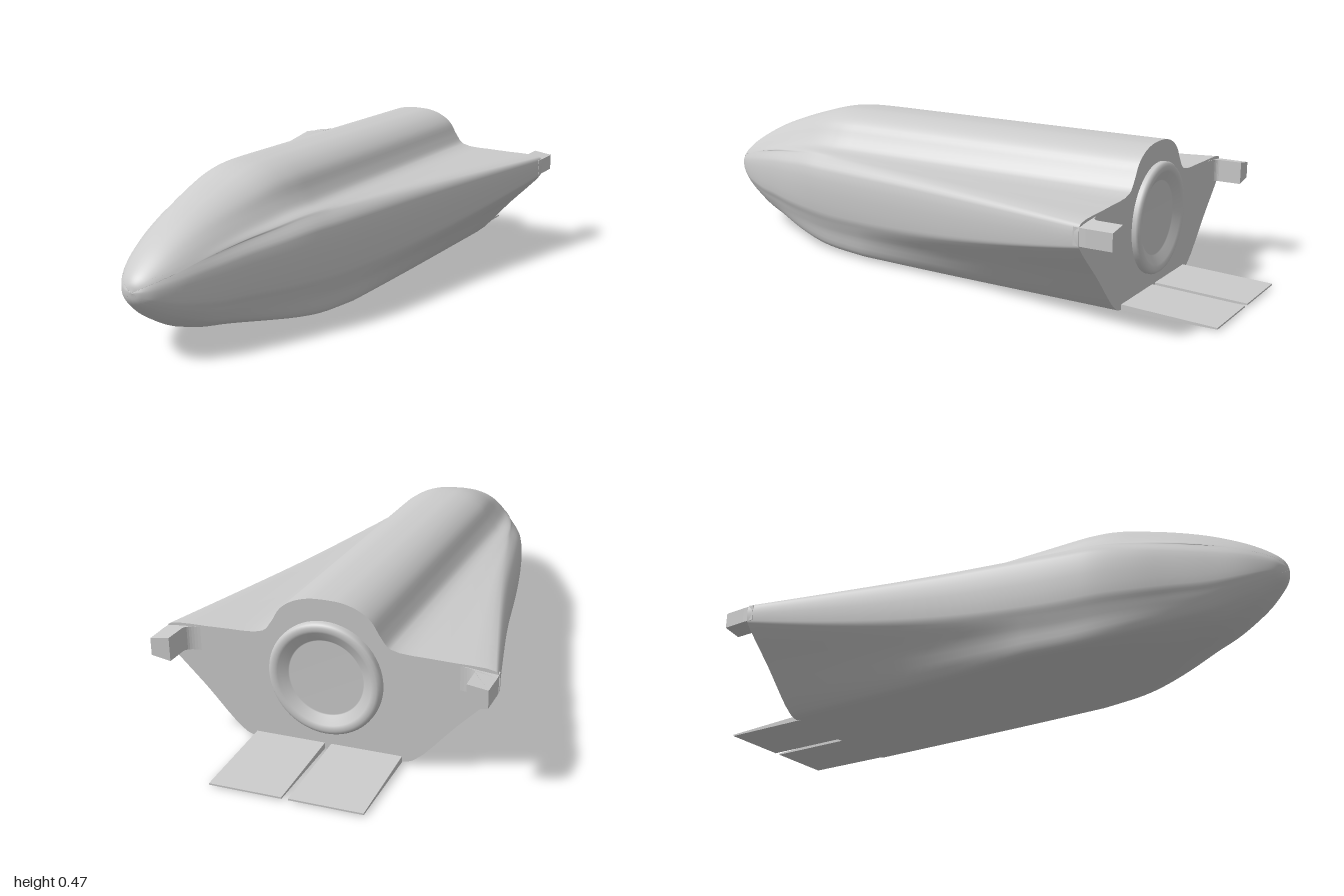
import * as THREE from 'three';

const grey = new THREE.MeshStandardMaterial({ color: 0xcccccc });
const BACK = -0.7;

// Stations along the hull: z, half width, top, bottom
const stations = [
  [1, 0, 0.21, 0.21], [0.992, 0.03, 0.237, 0.18], [0.965, 0.066, 0.266, 0.15],
  [0.9, 0.112, 0.312, 0.1], [0.8, 0.157, 0.365, 0.053], [0.7, 0.197, 0.405, 0.035],
  [0.6, 0.235, 0.437, 0.022], [0.5, 0.265, 0.464, 0.014], [0.4, 0.285, 0.474, 0.009],
  [0.2, 0.32, 0.475, 0.006], [0, 0.355, 0.475, 0.004], [-0.2, 0.396, 0.475, 0.003],
  [-0.45, 0.452, 0.475, 0.003], [BACK, 0.51, 0.475, 0.003],
];
const spline = (pts) => new THREE.CatmullRomCurve3(pts, false, 'catmullrom', 0.5);
const sizeCurve = spline(stations.map(([, w, t, b]) => new THREE.Vector3(w, t, b)));
const zCurve = spline(stations.map(([z]) => new THREE.Vector3(z, 0, 0)));

// Closed cross-section: an ellipse at the nose that turns into a winged body with a round spine
function section(z, w, top, bottom) {
  const aft = THREE.MathUtils.clamp((0.4 - z) / (0.4 - BACK), 0, 1);
  const winged = 1 - THREE.MathUtils.smoothstep(z, 0.35, 0.95);
  const s = Math.min(1, w / 0.285);
  const floor = Math.min(0.25, 0.8 * w);
  const low = 0.13 + 0.14 * aft ** 1.6;
  const high = 0.295 + 0.027 * aft;
  const soft = 0.035 - 0.025 * aft;
  const half = [
    [0, 0.003], [floor * 0.5, 0.003], [floor * 0.88, 0.004], [floor + 0.015 * s, 0.016],
    [THREE.MathUtils.lerp(floor, w, 0.55), 0.016 + (low - 0.016) * 0.52],
    [w - soft * 0.35, low - soft * 0.5], [w, low + soft * 0.5], [w, high], [w - soft, 0.334],
    [THREE.MathUtils.lerp(0.2 * s, w, 0.45), 0.342],
    [0.197 * s, 0.353], [0.168 * s, 0.385], [0.14 * s, 0.429], [0.1 * s, 0.457],
    [0.05 * s, 0.472], [0, 0.475],
  ].map(([x, y]) => {
    const a = Math.atan2((y - 0.22) / 0.236, x / Math.max(w, 0.001));
    const mid = (top + bottom) / 2;
    const wy = bottom + (y - 0.003) / 0.472 * (top - bottom);
    return new THREE.Vector3(
      THREE.MathUtils.lerp(w * Math.cos(a), x, winged),
      THREE.MathUtils.lerp(mid + (top - bottom) / 2 * Math.sin(a), wy, winged), z);
  });
  half[0].x = half[half.length - 1].x = 0;
  const right = new THREE.CatmullRomCurve3(half).getPoints((half.length - 1) * 4);
  const left = right.slice(1, -1).reverse().map((p) => new THREE.Vector3(-p.x, p.y, p.z));
  return [...right, ...left];
}

function hullGeometry() {
  const rows = (stations.length - 1) * 5;
  const position = [], index = [];
  let n = 0;
  for (let j = 0; j <= rows; j++) {
    const size = sizeCurve.getPoint(j / rows);
    const ring = section(zCurve.getPoint(j / rows).x, Math.max(0, size.x), size.y, size.z);
    n = ring.length;
    ring.forEach((p) => position.push(p.x, p.y, p.z));
  }
  for (let j = 0; j < rows; j++) {
    for (let i = 0; i < n; i++) {
      const a = j * n + i, b = j * n + (i + 1) % n;
      index.push(a, a + n, b + n, a, b + n, b);
    }
  }
  const g = new THREE.BufferGeometry();
  g.setAttribute('position', new THREE.Float32BufferAttribute(position, 3));
  g.setIndex(index);
  g.computeVertexNormals();
  return g;
}

export function createModel() {
  const model = new THREE.Group();
  const add = (name, geometry) => {
    const mesh = new THREE.Mesh(geometry, grey);
    mesh.name = name;
    model.add(mesh);
    return mesh;
  };

  add('hull', hullGeometry());

  // Flat rear wall closing the hull
  const [, w, top, bottom] = stations[stations.length - 1];
  const outline = section(BACK, w, top, bottom).map((p) => new THREE.Vector2(p.x, p.y));
  add('rearBulkhead', new THREE.ShapeGeometry(new THREE.Shape(outline)).rotateY(Math.PI).translate(0, 0, BACK));

  // Raised docking ring with a recessed centre plate
  const ringProfile = [
    [0.175, -0.005], [0.175, 0.012], [0.17, 0.019], [0.162, 0.022], [0.152, 0.022],
    [0.145, 0.019], [0.118, 0.004], [0.115, 0.002], [0, 0.002],
  ].map(([r, h]) => new THREE.Vector2(r, h)).reverse();
  const ring = new THREE.LatheGeometry(ringProfile, 64);
  const ringMesh = add('dockingRing', ring.rotateX(-Math.PI / 2).translate(0, 0.235, BACK));
  ringMesh.material = grey.clone();
  ringMesh.material.side = THREE.DoubleSide;

  for (const side of [1, -1]) {
    const label = side > 0 ? 'left' : 'right';

    // Wing tip pod with a filleted inner root, drawn in plan and extruded upwards
    const pod = new THREE.Shape();
    pod.moveTo(side * 0.508, 0.68);
    pod.lineTo(side * 0.51, 0.72);
    pod.lineTo(side * 0.508, 0.8);
    pod.lineTo(side * 0.447, 0.8);
    pod.lineTo(side * 0.447, 0.725);
    pod.quadraticCurveTo(side * 0.445, 0.703, side * 0.4, 0.7);
    pod.lineTo(side * 0.41, 0.68);
    const podGeometry = new THREE.ExtrudeGeometry(pod, { depth: 0.073, bevelEnabled: false, curveSegments: 8 });
    podGeometry.rotateX(-Math.PI / 2).translate(0, 0.261, 0);
    // chamfer the outer edges of the pod
    const p = podGeometry.attributes.position;
    for (let i = 0; i < p.count; i++) {
      if (Math.abs(p.getX(i)) > 0.5) p.setY(i, p.getY(i) > 0.3 ? 0.325 : 0.272);
    }
    podGeometry.computeVertexNormals();
    add(label + 'WingTipPod', podGeometry);

    // Tapered body flap
    const flap = new THREE.Shape([
      new THREE.Vector2(0.69, 0.003), new THREE.Vector2(1, 0.006),
      new THREE.Vector2(1, 0.011), new THREE.Vector2(0.69, 0.022),
    ]);
    const flapGeometry = new THREE.ExtrudeGeometry(flap, { depth: 0.22, bevelEnabled: false });
    flapGeometry.rotateY(Math.PI / 2).translate(side > 0 ? 0.01 : -0.23, 0, 0);
    add(label + 'BodyFlap', flapGeometry);
  }
  return model;
}
